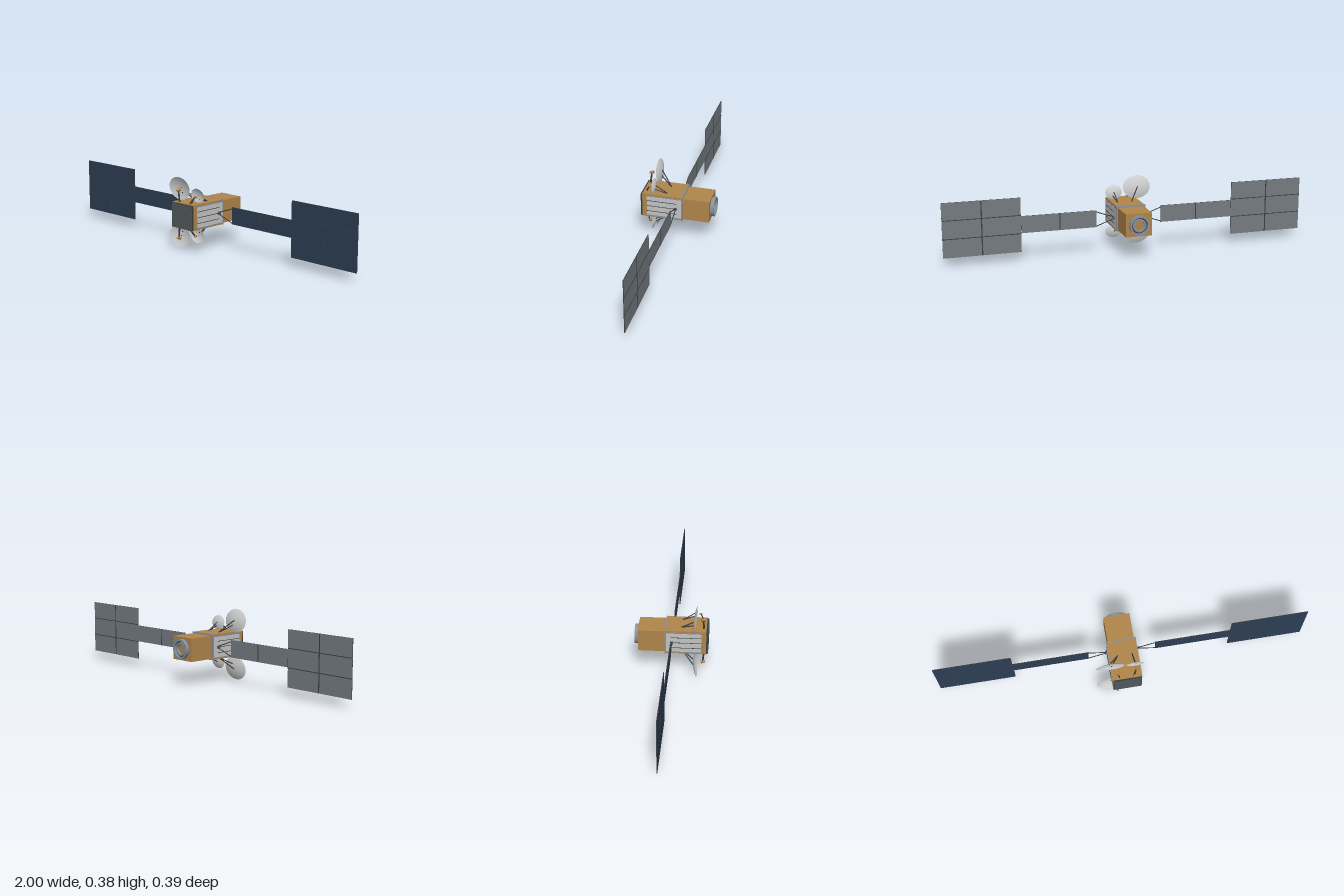
import * as THREE from 'three';

const mat = (name, color, side = THREE.FrontSide) => {
  const m = new THREE.MeshStandardMaterial({ color, side });
  m.name = name;
  return m;
};

export function createModel() {
  const root = new THREE.Group();
  root.name = 'satellite';
  const foil = mat('gold foil', 0xb0854a);
  const slate = mat('slate cover', 0x50595c);
  const trim = mat('trim grey', 0x87919b);
  const radiator = mat('radiator silver', 0xc4c4c4);
  const dishMat = mat('dish white', 0xd2d2d2, THREE.DoubleSide);
  const dark = mat('dark strut', 0x3a3e42);
  const cells = mat('solar cell navy', 0x2c3d52);
  const backing = mat('panel backing', 0x747b80);
  const CY = 0.197; // height of the main axis

  const add = (name, geo, m, x = 0, y = 0, z = 0, parent = root) => {
    const mesh = new THREE.Mesh(geo, m);
    mesh.name = name;
    mesh.position.set(x, y, z);
    parent.add(mesh);
    return mesh;
  };
  const box = (name, m, w, h, d, x, y, z, parent) =>
    add(name, new THREE.BoxGeometry(w, h, d), m, x, y, z, parent);

  // Cylinder between two points; r2 is the radius at the far end
  const rod = (name, m, a, b, r, r2 = r, sides = 8) => {
    const p = new THREE.Vector3(...a), q = new THREE.Vector3(...b);
    const dir = q.clone().sub(p);
    const mesh = add(name, new THREE.CylinderGeometry(r2, r, dir.length(), sides), m);
    mesh.position.copy(p).add(q).multiplyScalar(0.5);
    mesh.quaternion.setFromUnitVectors(new THREE.Vector3(0, 1, 0), dir.normalize());
    return mesh;
  };

  // Body
  box('mainBody', foil, 0.156, 0.136, 0.216, 0, CY + 0.001, 0.08);
  box('rearBody', foil, 0.142, 0.124, 0.145, 0, CY, -0.105);
  box('bodyCollar', trim, 0.162, 0.139, 0.007, 0, CY + 0.001, -0.03);
  box('frontRim', dark, 0.152, 0.132, 0.008, 0, CY, 0.192);
  box('frontCover', slate, 0.146, 0.126, 0.003, 0, CY, 0.1965);

  // Side radiators with dark seams
  for (const s of [-1, 1]) {
    box('radiatorFrame', trim, 0.003, 0.122, 0.192, s * 0.0785, CY, 0.066);
    box('radiator', radiator, 0.004, 0.11, 0.188, s * 0.0795, CY, 0.068);
    for (const dy of [-0.031, 0, 0.031])
      box('radiatorSeam', dark, 0.002, 0.003, 0.164, s * 0.0815, CY + dy, 0.08);
  }

  // Rear docking ring: stepped lathe profiles around the z axis
  const ring = (name, m, r0, r1, z0, z1) => {
    const pts = [[r0, z0], [r1, z0], [r1, z1], [r0, z1], [r0, z0]];
    // each edge is its own strip, which keeps the corners sharp
    for (let i = 0; i < 4; i++) {
      const edge = [pts[i], pts[i + 1]].map(([r, z]) => new THREE.Vector2(r, z));
      add(name, new THREE.LatheGeometry(edge, 40), m, 0, CY, -0.177).rotation.x = -Math.PI / 2;
    }
  };
  ring('dockingRing', trim, 0.043, 0.053, 0, 0.02);
  ring('dockingGroove', dark, 0.036, 0.043, 0, 0.008);
  ring('innerRing', trim, 0.027, 0.036, 0, 0.014);

  // Solar panel: cells in front, grey backing, dark edges
  const panelMats = [dark, dark, dark, dark, cells, backing];
  const panel = (parent, x0, x1, y0, y1) =>
    box('solarPanel', panelMats, x1 - x0, y1 - y0, 0.004, (x0 + x1) / 2, (y0 + y1) / 2, 0.004, parent);

  for (const s of [-1, 1]) {
    const wing = new THREE.Group();
    wing.name = s > 0 ? 'leftWing' : 'rightWing';
    root.add(wing);
    const span = (a, b, y0, y1) => panel(wing, Math.min(s * a, s * b), Math.max(s * a, s * b), y0, y1);
    span(0.181, 0.379, 0.153, 0.245);
    span(0.382, 0.588, 0.153, 0.245);
    const rows = [[0.051, 0.1505], [0.1515, 0.249], [0.2515, 0.345]];
    for (const [y0, y1] of rows) {
      span(0.589, 0.793, y0, y1);
      span(0.797, 1.0, y0, y1);
    }
    // Hinge lines and row seams on the back
    box('hingeLine', dark, 0.005, 0.092, 0.003, s * 0.3805, 0.199, 0.0025, wing);
    box('hingeLine', dark, 0.006, 0.292, 0.003, s * 0.795, 0.198, 0.0025, wing);
    for (const y of [0.151, 0.25])
      box('rowSeam', dark, 0.41, 0.004, 0.002, s * 0.794, y, 0.0015, wing);

    // Hub and V-shaped yoke
    const hub = add('wingHub', new THREE.CylinderGeometry(0.009, 0.009, 0.012, 20), slate, s * 0.084, CY, 0.004);
    hub.rotation.z = Math.PI / 2;
    for (const v of [-1, 1])
      rod('yoke', dark, [s * 0.085, CY + v * 0.005, 0.004], [s * 0.183, CY + v * 0.04, 0.004], 0.0025);
  }

  // Dish antennas above and below, each with struts and a feed horn
  const dish = (name, s, x, dy, rx, ry, depth, zv, tilt) => {
    const pts = [];
    for (let i = 0; i <= 8; i++) pts.push(new THREE.Vector2(i / 8, depth * (i / 8) ** 2));
    const geo = new THREE.LatheGeometry(pts, 40).scale(rx, 1, ry);
    add(name, geo, dishMat, x, CY + s * dy, zv).rotation.x = Math.PI / 2 + s * tilt;
  };
  for (const s of [-1, 1]) {
    const y = (d) => CY + s * d;
    dish('largeDish', s, -0.083, 0.131, 0.077, 0.063, 0.013, 0.1205, 0.12);
    dish('smallDish', s, 0.049, 0.11, 0.047, 0.038, 0.009, 0.121, 0.12);

    rod('largeDishStrut', dark, [-0.085, y(0.133), 0.121], [-0.03, y(0.067), 0.053], 0.003);
    rod('largeDishStrut', dark, [-0.075, y(0.107), 0.123], [-0.03, y(0.067), 0.053], 0.003);
    rod('smallDishStrut', dark, [0.049, y(0.11), 0.121], [0.046, y(0.067), 0.053], 0.0025);
    rod('smallDishStrut', dark, [0.055, y(0.09), 0.123], [0.046, y(0.067), 0.053], 0.0025);

    rod('largeFeedArm', dark, [-0.04, y(0.066), 0.178], [-0.052, y(0.128), 0.172], 0.0025);
    rod('largeFeedArm', dark, [-0.04, y(0.066), 0.172], [-0.052, y(0.128), 0.168], 0.0025);
    rod('largeFeed', foil, [-0.051, y(0.128), 0.182], [-0.054, y(0.132), 0.159], 0.006, 0.009, 16);
    rod('smallFeedArm', dark, [0.032, y(0.066), 0.177], [0.053, y(0.106), 0.153], 0.0025);
    rod('smallFeedArm', dark, [0.042, y(0.066), 0.172], [0.054, y(0.106), 0.152], 0.0025);
    rod('smallFeed', foil, [0.054, y(0.107), 0.159], [0.053, y(0.104), 0.144], 0.004, 0.006, 16);
  }
  return root;
}
